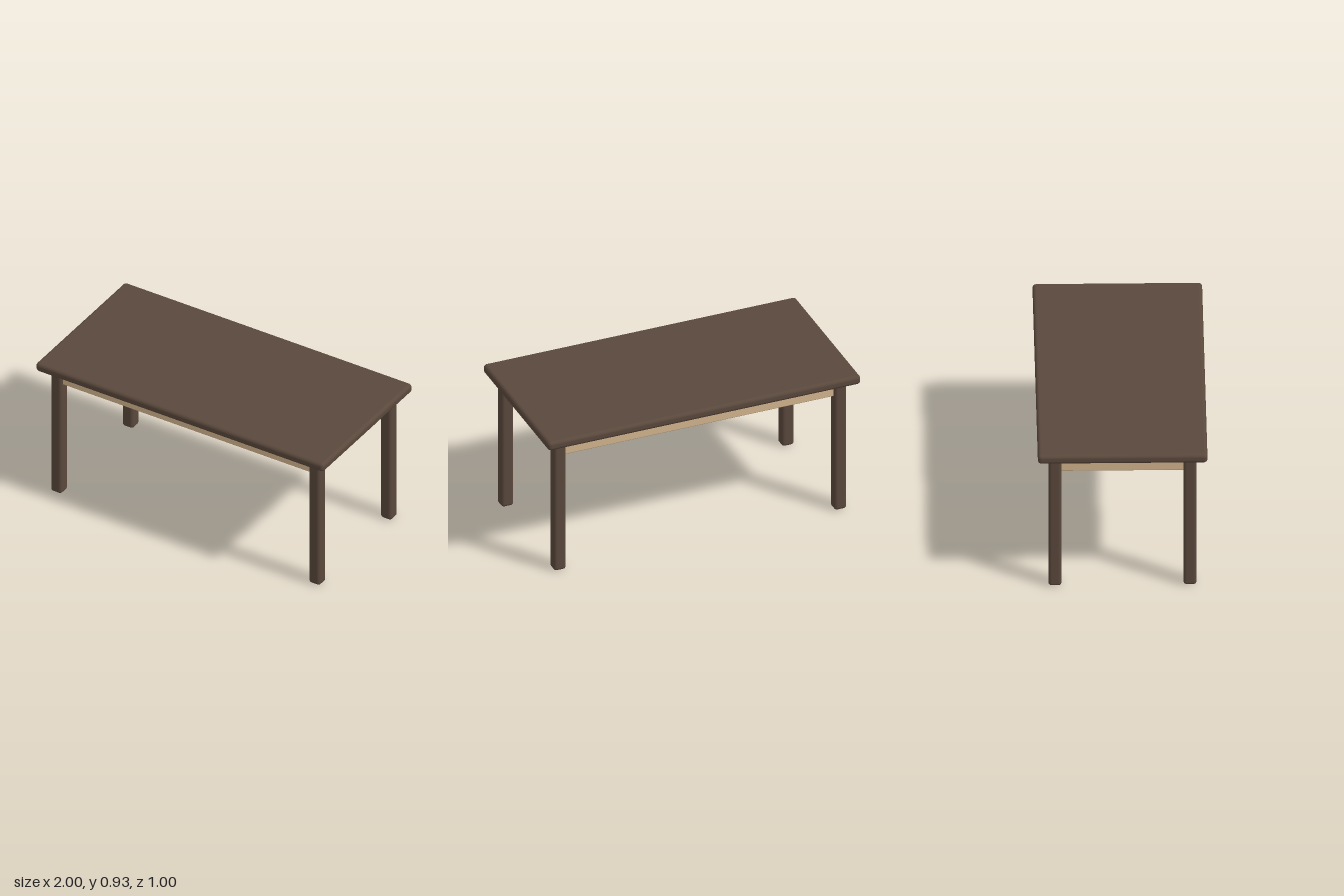
import * as THREE from 'three';
import { RoundedBoxGeometry } from 'three/addons/geometries/RoundedBoxGeometry.js';

export function createModel() {
  const model = new THREE.Group();
  model.name = 'table';

  const darkWood = new THREE.MeshStandardMaterial({ color: 0x5a483c });
  darkWood.name = 'darkWood';
  const paleWood = new THREE.MeshStandardMaterial({ color: 0xd2b48c });
  paleWood.name = 'paleWood';

  // Rounded box centred at (x, y, z)
  function addBox(name, material, [w, h, d], radius, [x, y, z]) {
    const mesh = new THREE.Mesh(new RoundedBoxGeometry(w, h, d, 4, radius), material);
    mesh.name = name;
    mesh.position.set(x, y, z);
    model.add(mesh);
  }

  const legX = 0.897, legZ = 0.398, legWidth = 0.077, legHeight = 0.873;
  const apronHeight = 0.085, apronThickness = 0.038, apronY = 0.82;

  // Tabletop
  addBox('tabletop', darkWood, [2, 0.059, 1], 0.022, [0, 0.901, 0]);

  for (const side of [-1, 1]) {
    // Legs
    for (const end of [-1, 1]) {
      const name = (end > 0 ? 'front' : 'back') + (side > 0 ? 'Left' : 'Right') + 'Leg';
      addBox(name, darkWood, [legWidth, legHeight, legWidth], 0.019,
        [side * legX, legHeight / 2, end * legZ]);
    }
    // Long and short aprons, their ends tucked into the legs
    addBox(side > 0 ? 'frontApron' : 'backApron', paleWood,
      [2 * legX - 0.04, apronHeight, apronThickness], 0.007, [0, apronY, side * legZ]);
    addBox(side > 0 ? 'leftApron' : 'rightApron', paleWood,
      [apronThickness, apronHeight, 2 * legZ - 0.04], 0.007, [side * legX, apronY, 0]);
  }
  return model;
}
